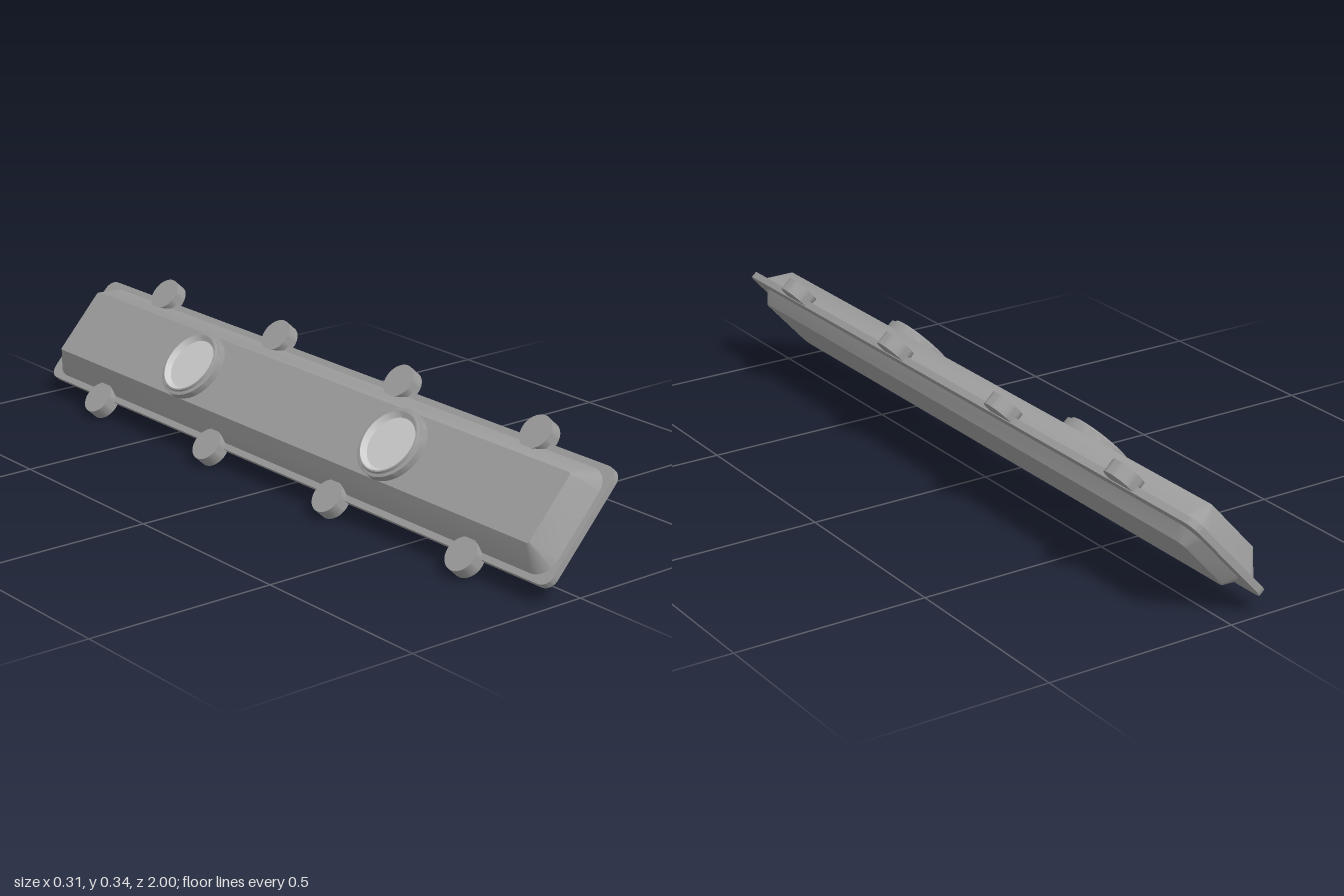
import * as THREE from 'three';
import { toCreasedNormals } from 'three/addons/utils/BufferGeometryUtils.js';

const darkGrey = new THREE.MeshStandardMaterial({ color: 0x9c9c9c });
const lightGrey = new THREE.MeshStandardMaterial({ color: 0xcccccc });

// Outline of a rounded rectangle in the xz plane (half sizes hx, hz; corner radius r)
function ring({ hx, hz, r, y }, steps = 8) {
  const points = [];
  [[1, 1], [-1, 1], [-1, -1], [1, -1]].forEach(([sx, sz], corner) => {
    for (let i = 0; i <= steps; i++) {
      const a = (corner + i / steps) * Math.PI / 2;
      points.push([sx * (hx - r) + r * Math.cos(a), y, sz * (hz - r) + r * Math.sin(a)]);
    }
  });
  return points;
}

// Closed solid between a lower and an upper rounded rectangle
function taperedSlab(lower, upper) {
  const lo = ring(lower), hi = ring(upper), v = [];
  const n = lo.length;
  for (let i = 0; i < n; i++) {
    const j = (i + 1) % n;
    v.push(...lo[i], ...hi[i], ...lo[j], ...lo[j], ...hi[i], ...hi[j]);
    v.push(0, upper.y, 0, ...hi[j], ...hi[i]);
    v.push(0, lower.y, 0, ...lo[i], ...lo[j]);
  }
  const geometry = new THREE.BufferGeometry();
  geometry.setAttribute('position', new THREE.Float32BufferAttribute(v, 3));
  return toCreasedNormals(geometry, 0.5);
}

// Turned part from [radius, height] pairs
function turned(profile) {
  const points = profile.map(([r, y]) => new THREE.Vector2(r, y));
  return toCreasedNormals(new THREE.LatheGeometry(points, 48), 0.4);
}

function add(parent, name, geometry, material, x = 0, y = 0, z = 0) {
  const mesh = new THREE.Mesh(geometry, material);
  mesh.name = name;
  mesh.position.set(x, y, z);
  parent.add(mesh);
}

export function createModel() {
  const model = new THREE.Group();
  model.name = 'tiltedHousing';

  // Everything is built lying flat, then tilted about the long axis
  const housing = new THREE.Group();
  housing.name = 'housing';
  housing.position.set(0.0075, 0.163, 0);
  housing.rotation.z = THREE.MathUtils.degToRad(47.8);
  model.add(housing);

  // Thin flange between the two shells
  add(housing, 'flange', taperedSlab(
    { hx: 0.158, hz: 1, r: 0.03, y: -0.009 },
    { hx: 0.158, hz: 1, r: 0.03, y: 0.009 }), darkGrey);

  // Sloped shells above and below the flange
  add(housing, 'upperShell', taperedSlab(
    { hx: 0.142, hz: 0.985, r: 0.052, y: 0.009 },
    { hx: 0.0945, hz: 0.938, r: 0.006, y: 0.0705 }), darkGrey);
  add(housing, 'lowerShell', taperedSlab(
    { hx: 0.096, hz: 0.942, r: 0.022, y: -0.042 },
    { hx: 0.122, hz: 0.967, r: 0.048, y: -0.009 }), darkGrey);

  // Round mounting lugs along both long edges
  const lug = toCreasedNormals(new THREE.CylinderGeometry(0.045, 0.045, 0.036, 32), 0.5);
  for (const side of [-1, 1])
    for (const z of [-0.735, -0.245, 0.245, 0.735])
      add(housing, 'mountingLug', lug, darkGrey, side * 0.168, 0.0113, z);

  // Two round caps: a dark collar with a raised rim around a light recessed lens
  const collar = turned([
    [0.095, 0.068], [0.095, 0.09], [0.087, 0.0925], [0.085, 0.098], [0.081, 0.098],
  ]);
  const lens = turned([[0.081, 0.098], [0.07, 0.085], [0, 0.085]]);
  for (const z of [-0.4, 0.4]) {
    add(housing, 'capCollar', collar, darkGrey, 0, 0, z);
    add(housing, 'capLens', lens, lightGrey, 0, 0, z);
  }

  return model;
}
